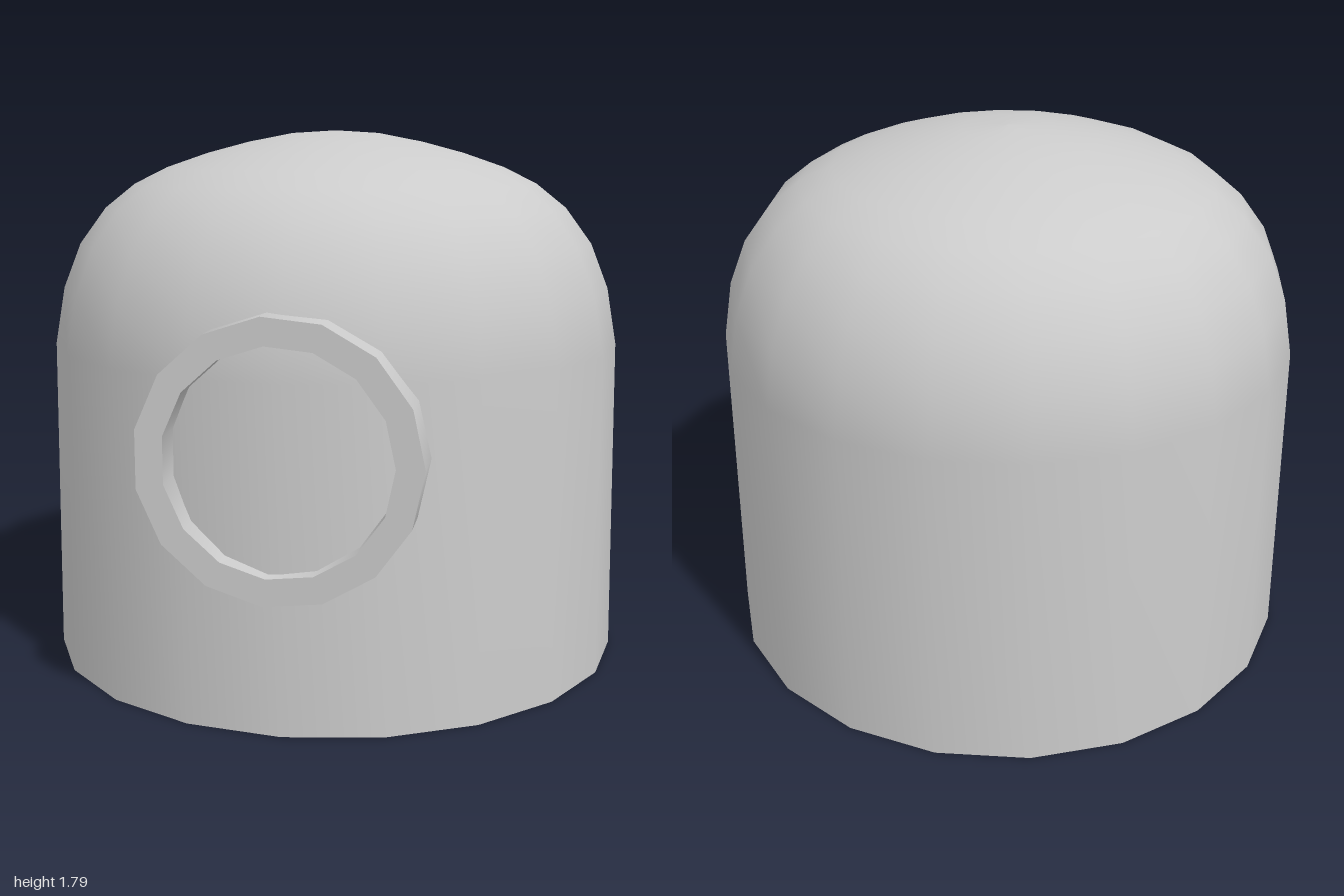
import * as THREE from 'three';
import { toCreasedNormals } from 'three/addons/utils/BufferGeometryUtils.js';

const points = (list) => list.map(([r, y]) => new THREE.Vector2(r, y));

export function createModel() {
  const group = new THREE.Group();

  // Thin domed shell, open at the bottom
  const profile = points([
    [0.982, 0], [0.97, 1.07], [0.937, 1.26], [0.878, 1.41], [0.79, 1.53],
    [0.69, 1.61], [0.58, 1.665], [0.44, 1.713], [0.3, 1.75], [0.15, 1.779], [0, 1.788],
  ]);
  const dome = new THREE.Mesh(
    new THREE.LatheGeometry(profile, 20),
    new THREE.MeshStandardMaterial({ color: 0xcccccc, side: THREE.DoubleSide })
  );
  dome.name = 'domeShell';
  dome.position.z = -0.018;
  group.add(dome);

  // Short hollow pipe passing through the front wall
  const outer = 0.43, inner = 0.345, back = 0.61, front = 1;
  const section = points([
    [inner, back], [outer, back], [outer, front], [inner, front], [inner, back],
  ]);
  const pipeGeometry = new THREE.LatheGeometry(section, 15, Math.PI / 2);
  pipeGeometry.rotateX(Math.PI / 2);
  const pipe = new THREE.Mesh(
    toCreasedNormals(pipeGeometry, Math.PI / 5),
    new THREE.MeshStandardMaterial({ color: 0xcccccc })
  );
  pipe.name = 'frontPipe';
  pipe.position.y = 0.845;
  group.add(pipe);

  return group;
}
